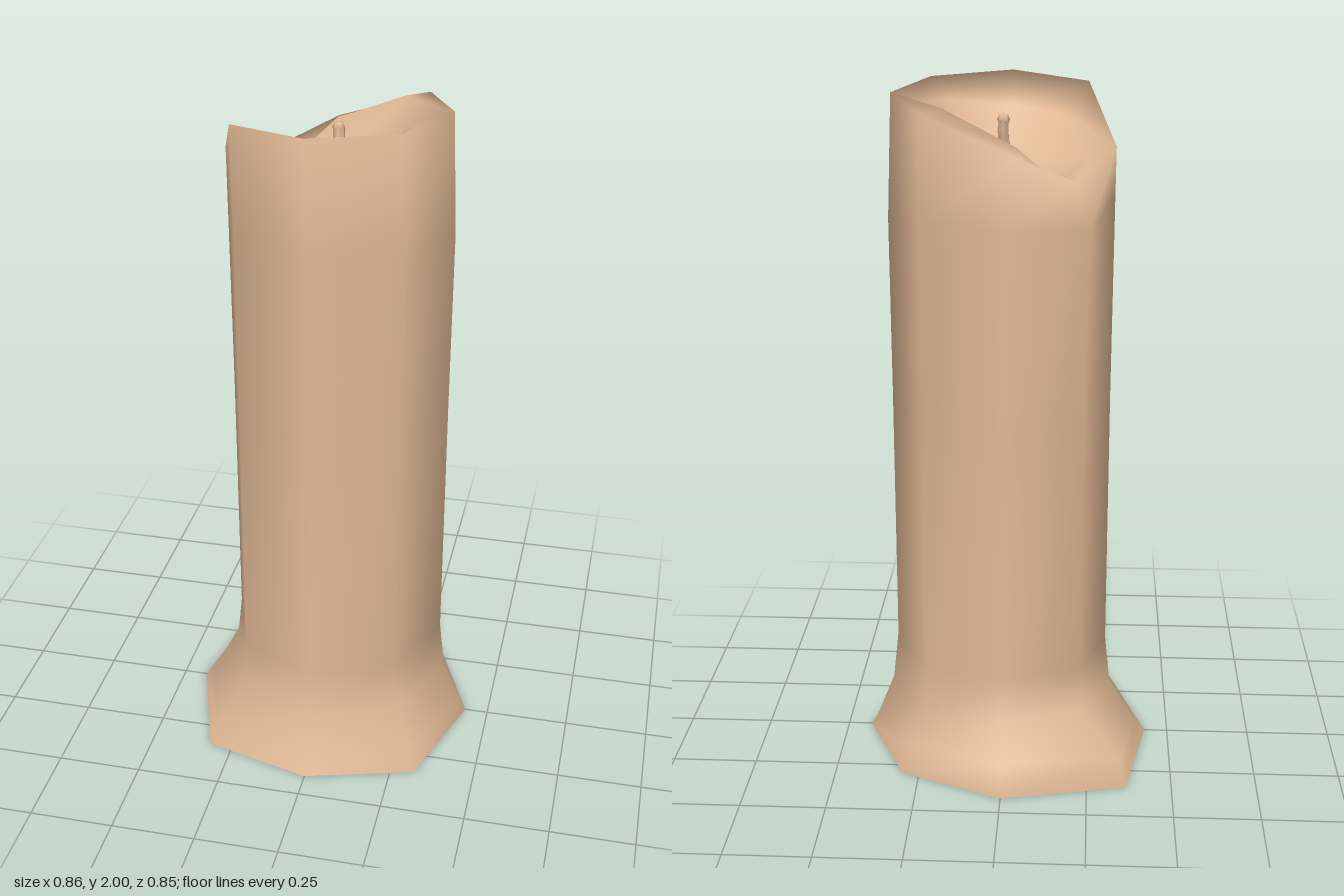
import * as THREE from 'three';

const SIDES = 8;

// Outlines as [x, z], starting at +x and turning toward +z
const BASE = [[0.43, 0], [0.32, 0.33], [0, 0.42], [-0.32, 0.335], [-0.43, 0], [-0.365, -0.345], [0, -0.425], [0.30, -0.295]];
const FOOT = [[0.41, 0], [0.305, 0.31], [0, 0.40], [-0.30, 0.31], [-0.40, 0], [-0.345, -0.33], [0, -0.41], [0.28, -0.28]];
const BODY = [[0.338, 0], [0.24, 0.24], [0, 0.335], [-0.222, 0.235], [-0.301, 0], [-0.225, -0.23], [0, -0.298], [0.23, -0.235]];
const SHOULDER = [[0.34, 0], [0.245, 0.245], [0, 0.338], [-0.222, 0.235], [-0.304, 0], [-0.235, -0.245], [-0.01, -0.302], [0.23, -0.24]];
const RIM = [[0.326, 0], [0.235, 0.24], [0, 0.35], [-0.225, 0.235], [-0.305, 0], [-0.20, -0.228], [-0.05, -0.298], [0.225, -0.228]];

// A ring from an outline, a scale and one height or a height per corner
const ring = (outline, scale, y) =>
  outline.map(([x, z], i) => [x * scale, Array.isArray(y) ? y[i] : y, z * scale]);

// Skin a stack of rings, listed from the bottom up the outside and in over the top
function loft(rings) {
  const index = [];
  for (let r = 0; r < rings.length - 1; r++) {
    for (let k = 0; k < SIDES; k++) {
      const a = r * SIDES + k;
      const b = r * SIDES + (k + 1) % SIDES;
      index.push(a, a + SIDES, b, b, a + SIDES, b + SIDES);
    }
  }
  const geometry = new THREE.BufferGeometry();
  geometry.setAttribute('position', new THREE.Float32BufferAttribute(rings.flat(2), 3));
  geometry.setIndex(index);
  geometry.computeVertexNormals();
  return geometry;
}

export function createModel() {
  const group = new THREE.Group();
  const material = new THREE.MeshStandardMaterial({ color: 0xe0b894 });
  const add = (name, geometry) => {
    const mesh = new THREE.Mesh(geometry, material);
    mesh.name = name;
    group.add(mesh);
    return mesh;
  };

  // Wax: spread foot, straight body, rim that dips at the back right, hollow top
  add('waxBody', loft([
    ring(BASE, 1, 0),
    ring(FOOT, 1, [0.03, 0.06, 0.04, 0.06, 0.03, 0.085, 0.10, 0.08]),
    ring(BODY, 1.05, [0.17, 0.18, 0.18, 0.19, 0.18, 0.2, 0.19, 0.18]),
    ring(BODY, 1, 0.32),
    ring(BODY, 1, 1.1),
    ring(SHOULDER, 1, [1.62, 1.66, 1.66, 1.68, 1.69, 1.64, 1.65, 1.66]),
    ring(RIM, 1, [1.975, 1.99, 1.997, 1.98, 1.83, 1.77, 1.84, 1.95]),
    ring(RIM, 0.74, [1.95, 1.93, 1.91, 1.89, 1.80, 1.755, 1.86, 1.955]),
    ring(RIM, 0.42, [1.80, 1.80, 1.79, 1.77, 1.75, 1.74, 1.76, 1.79]),
    ring(RIM, 0, 1.75),
  ]));

  // Flat underside
  add('underside', loft([ring(BASE, 0, 0), ring(BASE, 1, 0)]));

  // Short bent wick with a closed, blunt tip
  const path = new THREE.CatmullRomCurve3([
    new THREE.Vector3(0.008, 1.73, 0.0),
    new THREE.Vector3(0.005, 1.81, 0.0),
    new THREE.Vector3(0.012, 1.86, -0.008),
    new THREE.Vector3(0.010, 1.905, -0.014),
  ]);
  add('wick', new THREE.TubeGeometry(path, 6, 0.017, 6));
  const tip = add('wickTip', new THREE.SphereGeometry(0.018, 6, 4));
  tip.position.set(0.010, 1.905, -0.014);

  return group;
}
